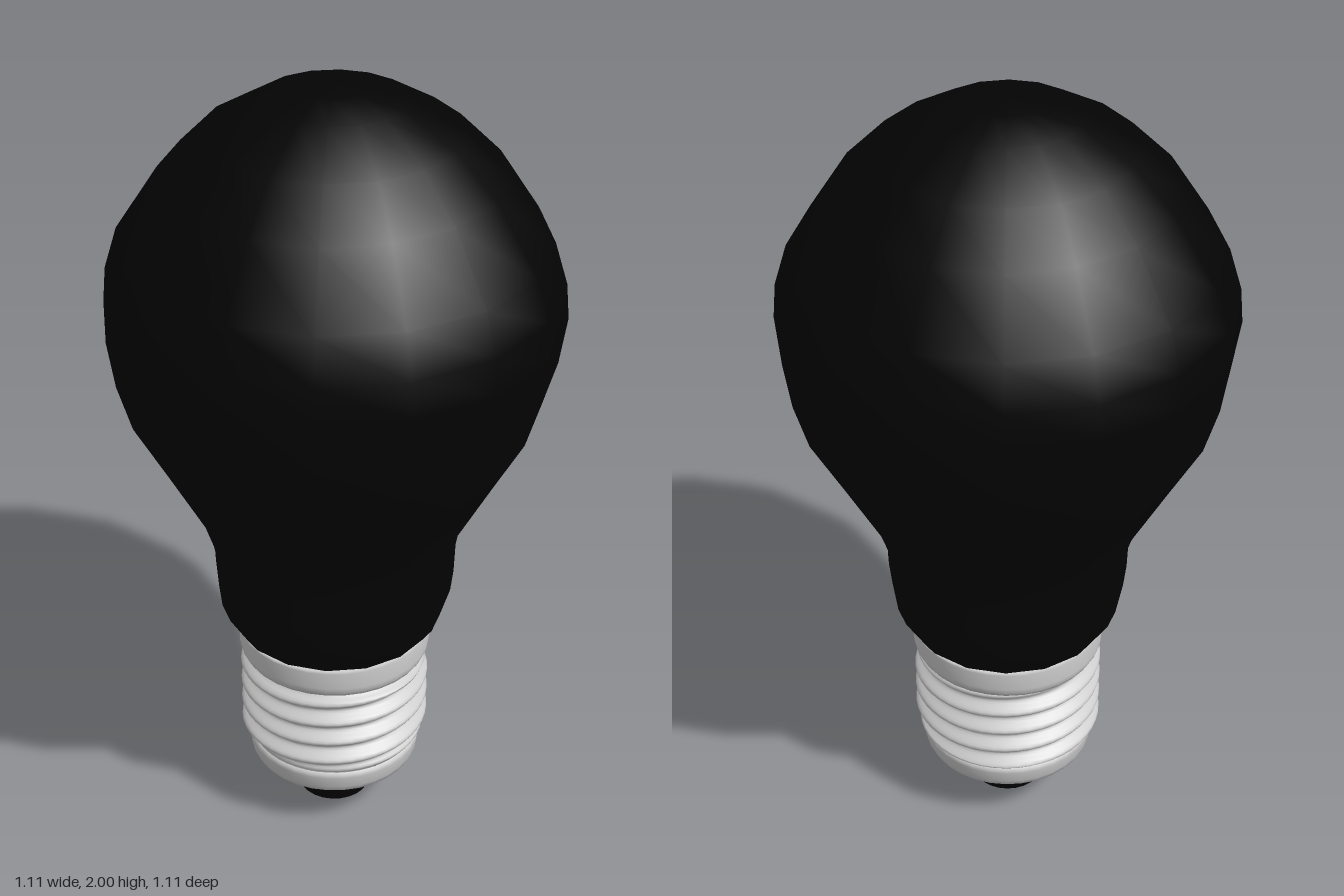
import * as THREE from 'three';
import { ParametricGeometry } from 'three/addons/geometries/ParametricGeometry.js';

const metal = new THREE.MeshStandardMaterial({ color: 0xcccccc });
const black = new THREE.MeshStandardMaterial({ color: 0x030303 });

// Turned part from [radius, height] pairs, listed bottom to top
function turned(name, profile, sides, material) {
  const points = profile.map(([r, y]) => new THREE.Vector2(r, y));
  const mesh = new THREE.Mesh(new THREE.LatheGeometry(points, sides), material);
  mesh.name = name;
  return mesh;
}

// Helical screw shell: the radius ripples with height and angle, fading at both ends
function screwThread() {
  const bottom = 0.2, top = 0.46, pitch = 0.06, root = 0.217, depth = 0.027;
  const geometry = new ParametricGeometry((u, v, target) => {
    const phi = (u * 2 - 1) * Math.PI;
    const y = bottom + v * (top - bottom);
    const wave = 0.5 + 0.5 * Math.cos(((y - 0.245) / pitch) * Math.PI * 2 - phi);
    const fade = THREE.MathUtils.smoothstep(y, bottom, bottom + 0.025)
      * (1 - THREE.MathUtils.smoothstep(y, top - 0.025, top));
    const r = root + depth * wave * fade;
    target.set(r * Math.sin(phi), y, r * Math.cos(phi));
  }, 48, 52);
  const mesh = new THREE.Mesh(geometry, metal);
  mesh.name = 'screwThread';
  return mesh;
}

export function createModel() {
  const bulb = new THREE.Group();
  bulb.name = 'lightBulb';

  // Glass envelope, sixteen-sided
  bulb.add(turned('glass', [
    [0.235, 0.54], [0.255, 0.553], [0.277, 0.585], [0.297, 0.64], [0.304, 0.7],
    [0.307, 0.78], [0.314, 0.82], [0.334, 0.88], [0.42, 1.04], [0.502, 1.19],
    [0.537, 1.31], [0.555, 1.43], [0.547, 1.52], [0.515, 1.625], [0.41, 1.785],
    [0.307, 1.888], [0.175, 1.965], [0.08, 1.993], [0, 2],
  ], 16, black));

  // Metal cap: collar, thread and rounded lower cup
  bulb.add(turned('collar', [
    [0.217, 0.46], [0.236, 0.463], [0.243, 0.475], [0.246, 0.49],
    [0.246, 0.535], [0.243, 0.542], [0.2, 0.544],
  ], 32, metal));
  bulb.add(screwThread());
  bulb.add(turned('lowerCup', [
    [0.1, 0.118], [0.17, 0.119], [0.193, 0.124], [0.21, 0.136],
    [0.22, 0.155], [0.224, 0.185], [0.224, 0.196], [0.217, 0.2],
  ], 32, metal));

  // Insulator and contact tip
  bulb.add(turned('contactTip', [
    [0, 0], [0.08, 0.002], [0.092, 0.01], [0.096, 0.025], [0.102, 0.055],
    [0.122, 0.085], [0.128, 0.1], [0.128, 0.12],
  ], 24, black));

  return bulb;
}
